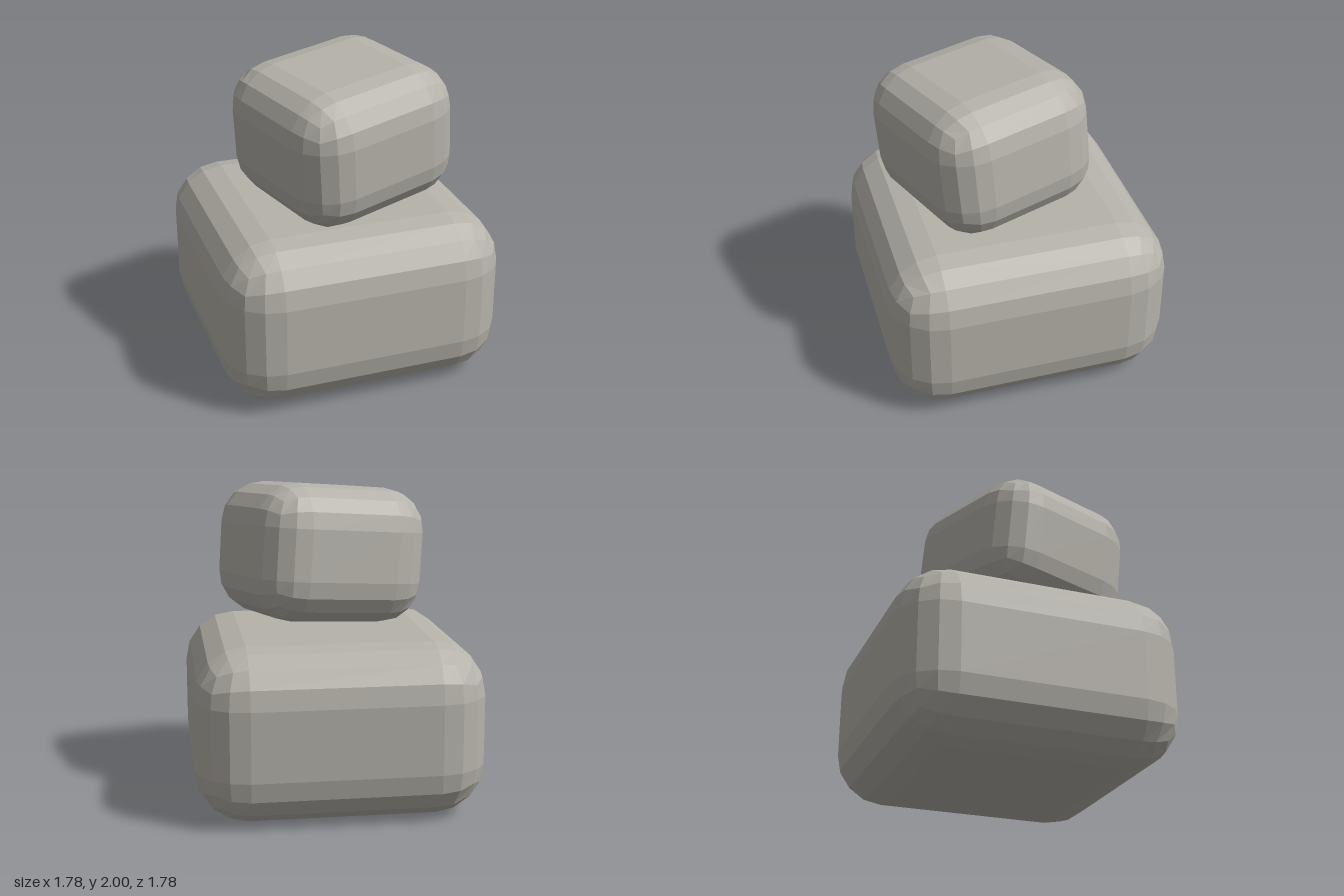
import * as THREE from 'three';

// Box with evenly stepped round edges: four flat facets across every edge.
function roundedBlock(w, h, d, r) {
  const geo = new THREE.BoxGeometry(1, 1, 1, 5, 5, 5);
  const half = [w / 2 - r, h / 2 - r, d / 2 - r];
  const pos = geo.attributes.position;
  const dir = new THREE.Vector3();
  for (let i = 0; i < pos.count; i++) {
    const p = [pos.getX(i), pos.getY(i), pos.getZ(i)];
    // The grid cell in the middle stays flat, the outer two bend round the edge.
    const bend = p.map((c) => Math.sign(c) * Math.tan(((Math.abs(c) - 0.1) / 0.4) * Math.PI / 4));
    dir.set(...bend).normalize().multiplyScalar(r);
    pos.setXYZ(i,
      Math.sign(p[0]) * half[0] + dir.x,
      Math.sign(p[1]) * half[1] + dir.y,
      Math.sign(p[2]) * half[2] + dir.z);
  }
  geo.computeVertexNormals();
  return geo;
}

export function createModel() {
  const group = new THREE.Group();
  group.name = 'stackedStones';
  const stone = new THREE.MeshStandardMaterial({ color: 0xb5b2aa, flatShading: true });
  stone.name = 'warm grey stone';

  // Large stone on the ground
  const lower = new THREE.Mesh(roundedBlock(1.78, 1.07, 1.78, 0.32), stone);
  lower.name = 'lowerStone';
  lower.position.y = 0.537;
  group.add(lower);

  // Smaller stone, turned and tipped on top
  const upper = new THREE.Mesh(roundedBlock(1.13, 0.855, 1.07, 0.268), stone);
  upper.name = 'upperStone';
  upper.position.set(0.03, 1.535, 0.14);
  upper.rotation.set(0.05, 0.3, 0.085, 'YXZ');
  group.add(upper);

  return group;
}
